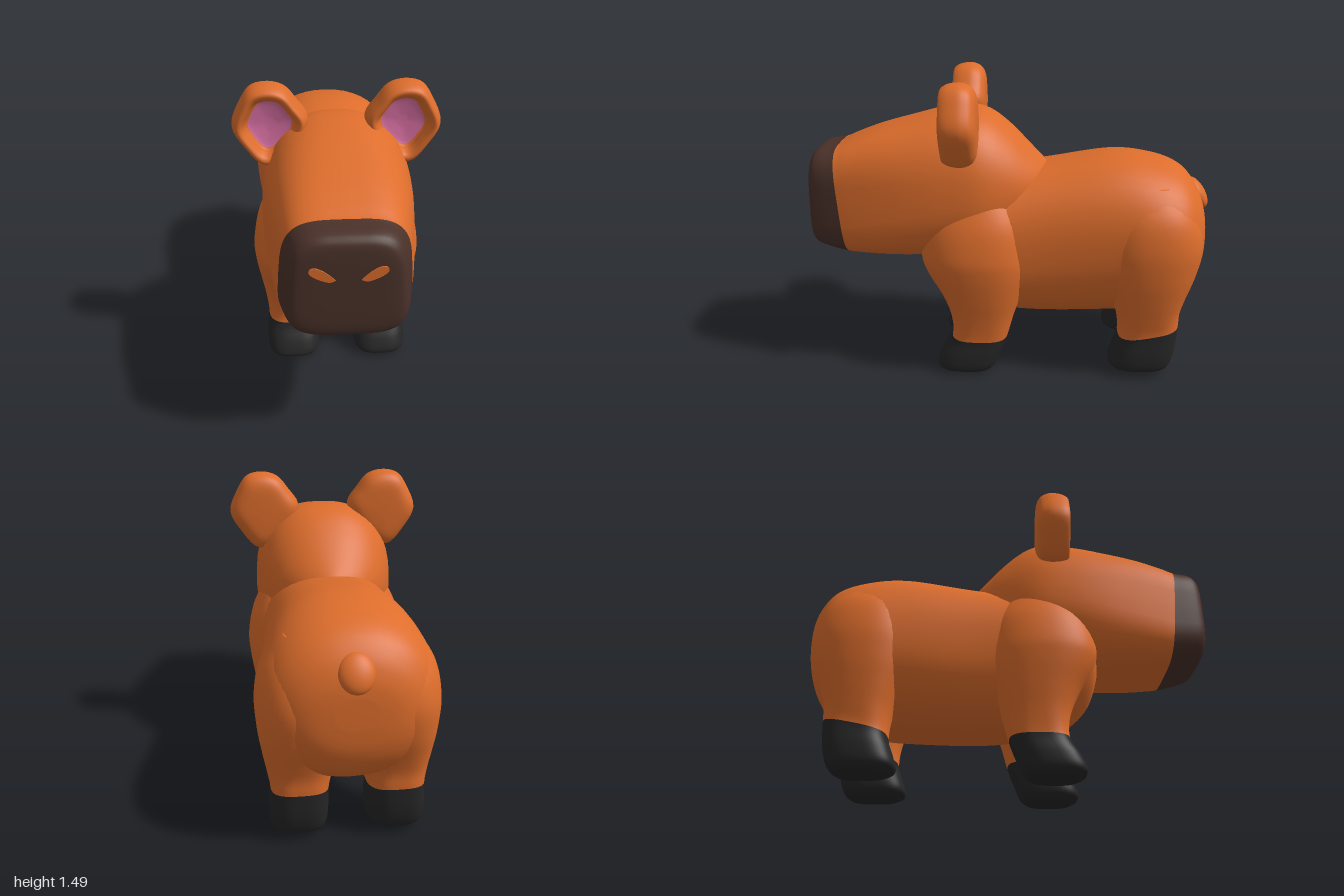
import * as THREE from 'three';

const paint = (name, color) => {
  const m = new THREE.MeshStandardMaterial({ color });
  m.name = name;
  return m;
};
const SIDES = 48, STEPS = 5;

// Smooth interpolation through rows of numbers, STEPS rows per interval
function smoothRows(rows) {
  const out = [], last = rows.length - 1;
  const at = i => rows[Math.min(last, Math.max(0, i))];
  for (let i = 0; i < last; i++) {
    for (let s = 0; s < STEPS; s++) {
      const t = s / STEPS;
      out.push(rows[0].map((_, k) => {
        const a = at(i - 1)[k], b = at(i)[k], c = at(i + 1)[k], d = at(i + 2)[k];
        return b + 0.5 * t * (c - a + t * (2 * a - 5 * b + 4 * c - d + t * (3 * (b - c) + d - a)));
      }));
    }
  }
  out.push(rows[last]);
  return out;
}

// Unit superellipse point: n = 2 is round, larger is boxier
function superPoint(j, n) {
  const a = (j / SIDES) * Math.PI * 2, c = Math.cos(a), s = Math.sin(a);
  return [Math.sign(c) * Math.abs(c) ** (2 / n), Math.sign(s) * Math.abs(s) ** (2 / n)];
}

// Closed skin over rings of points; faces after ring `split` use the second material
function skin(name, rings, materials, split = Infinity) {
  const n = rings[0].length, pos = rings.flat(2);
  const first = [], second = [];
  for (const ring of [rings[0], rings[rings.length - 1]]) {
    for (let k = 0; k < 3; k++) pos.push(ring.reduce((sum, p) => sum + p[k], 0) / n);
  }
  const c0 = rings.length * n, c1 = c0 + 1, end = (rings.length - 1) * n;
  for (let j = 0; j < n; j++) first.push(c0, (j + 1) % n, j);
  for (let i = 0; i < rings.length - 1; i++) {
    const list = i < split ? first : second;
    for (let j = 0; j < n; j++) {
      const a = i * n + j, b = i * n + (j + 1) % n;
      list.push(a, b, a + n, b, b + n, a + n);
    }
  }
  const tail = split < rings.length ? second : first;
  for (let j = 0; j < n; j++) tail.push(c1, end + j, end + (j + 1) % n);

  // Make the winding face outwards
  let volume = 0;
  const v = i => new THREE.Vector3(pos[i * 3], pos[i * 3 + 1], pos[i * 3 + 2]);
  const index = first.concat(second);
  for (let i = 0; i < index.length; i += 3) volume += v(index[i]).dot(v(index[i + 1]).cross(v(index[i + 2])));
  if (volume < 0) {
    for (let i = 0; i < index.length; i += 3) [index[i], index[i + 1]] = [index[i + 1], index[i]];
  }
  const g = new THREE.BufferGeometry();
  g.setAttribute('position', new THREE.Float32BufferAttribute(pos, 3));
  g.setIndex(index);
  if (second.length) {
    g.addGroup(0, first.length, 0);
    g.addGroup(first.length, second.length, 1);
  }
  g.computeVertexNormals();
  const mesh = new THREE.Mesh(g, second.length ? materials : materials[0]);
  mesh.name = name;
  return mesh;
}

// Rows along z: [z, bottom, top, halfWidth, squareness, tilt], narrower at the top by `taper`
const alongZ = (rows, taper) => smoothRows(rows).map(([z, y0, y1, w, n, tilt]) =>
  Array.from({ length: SIDES }, (_, j) => {
    const [u, v] = superPoint(j, n), y = (v * (y1 - y0)) / 2;
    return [u * w * (1 - taper * v), (y0 + y1) / 2 + y, z + tilt * y];
  }));

// Rows along y: [y, backZ, frontZ, innerX, outerX, squareness, tilt]
const alongY = (rows, side) => smoothRows(rows).map(([y, z0, z1, x0, x1, n, tilt]) =>
  Array.from({ length: SIDES }, (_, j) => {
    const [u, v] = superPoint(j, n), z = (v * (z1 - z0)) / 2;
    return [side * ((x0 + x1) / 2 + (u * (x1 - x0)) / 2), y + tilt * z, (z0 + z1) / 2 + z];
  }));

export function createModel() {
  const fur = paint('orange fur', 0xdd6d2c);
  const muzzle = paint('dark brown muzzle', 0x4a3129);
  const hoof = paint('black hoof', 0x262626);
  const pink = paint('pink inner ear', 0xd86fa2);
  const model = new THREE.Group();
  model.name = 'animal';

  // Torso
  model.add(skin('body', alongZ([
    [-0.972, 0.64, 0.78, 0.09, 2.2, 0], [-0.96, 0.53, 0.86, 0.2, 2.2, 0],
    [-0.92, 0.43, 0.95, 0.29, 2.2, 0], [-0.84, 0.34, 1.03, 0.365, 2.2, 0],
    [-0.7, 0.29, 1.08, 0.395, 2.2, 0], [-0.5, 0.27, 1.098, 0.375, 2.3, 0],
    [-0.2, 0.26, 1.05, 0.35, 2.4, 0], [0, 0.27, 1.02, 0.345, 2.4, 0],
    [0.2, 0.3, 1.0, 0.35, 2.3, 0], [0.33, 0.36, 0.95, 0.33, 2.2, 0],
    [0.42, 0.46, 0.86, 0.27, 2.2, 0], [0.455, 0.56, 0.75, 0.13, 2.2, 0],
  ], 0), [fur]));

  // Head with the dark muzzle at its front
  model.add(skin('head', alongZ([
    [-0.19, 0.98, 1.03, 0.04, 2, 0], [-0.15, 0.86, 1.07, 0.15, 2, 0],
    [-0.08, 0.76, 1.14, 0.23, 2.1, 0], [0, 0.69, 1.22, 0.285, 2.2, 0],
    [0.1, 0.62, 1.295, 0.33, 2.3, 0], [0.2, 0.59, 1.322, 0.35, 2.4, 0],
    [0.35, 0.575, 1.305, 0.352, 2.5, 0], [0.5, 0.575, 1.262, 0.34, 2.8, 0.02],
    [0.65, 0.582, 1.215, 0.318, 3.2, 0.05], [0.77, 0.593, 1.167, 0.296, 3.6, 0.08],
    [0.835, 0.6, 1.138, 0.282, 3.8, 0.1], [0.92, 0.62, 1.128, 0.262, 3.9, 0.06],
    [0.972, 0.645, 1.112, 0.24, 3.9, 0], [0.992, 0.69, 1.075, 0.205, 3.6, 0],
    [0.996, 0.78, 0.98, 0.1, 3, 0],
  ], 0.07), [fur, muzzle], 10 * STEPS));

  // Leg rows, hoof first
  const frontLeg = [
    [0, 0.11, 0.33, 0.13, 0.32, 2.8, 0], [0.03, 0.075, 0.37, 0.095, 0.355, 3, 0],
    [0.1, 0.045, 0.345, 0.088, 0.36, 3, 0], [0.187, 0.012, 0.295, 0.088, 0.352, 3, 0],
    [0.3, -0.02, 0.3, 0.07, 0.364, 2.7, 0], [0.42, -0.06, 0.345, 0.05, 0.385, 2.5, 0],
    [0.55, -0.1, 0.42, 0.03, 0.405, 2.3, 0], [0.65, -0.1, 0.44, 0.03, 0.408, 2.2, 0],
    [0.8, -0.07, 0.4, 0.05, 0.375, 2.2, 0], [0.95, 0.03, 0.28, 0.12, 0.3, 2, 0],
  ];
  const backLeg = [
    [0.02, -0.78, -0.55, 0.13, 0.32, 2.8, 0], [0.05, -0.815, -0.507, 0.095, 0.355, 3, 0],
    [0.13, -0.84, -0.525, 0.088, 0.36, 3, -0.05], [0.23, -0.85, -0.55, 0.088, 0.352, 3, -0.2],
    [0.32, -0.855, -0.54, 0.07, 0.366, 2.7, -0.1], [0.42, -0.88, -0.505, 0.05, 0.385, 2.5, 0],
    [0.55, -0.925, -0.46, 0.03, 0.405, 2.3, 0], [0.7, -0.945, -0.44, 0.03, 0.41, 2.2, 0],
    [0.85, -0.9, -0.48, 0.05, 0.375, 2.2, 0], [0.98, -0.8, -0.58, 0.12, 0.28, 2, 0],
  ];

  // Ear outline, and rings [scale, z] from the back round the rim into the cup
  const earCurve = new THREE.CatmullRomCurve3([
    [0.31, 1.487], [0.39, 1.47], [0.44, 1.4], [0.48, 1.29], [0.43, 1.19], [0.34, 1.095],
    [0.25, 1.13], [0.16, 1.23], [0.13, 1.32], [0.18, 1.4], [0.235, 1.465],
  ].map(([x, y]) => new THREE.Vector3(x, y, 0)), true);
  const earOutline = earCurve.getPoints(SIDES).slice(0, SIDES);
  const earRings = smoothRows([
    [0.2, 0.145], [0.65, 0.15], [0.88, 0.17], [0.98, 0.205], [1, 0.24], [0.96, 0.285],
    [0.86, 0.315], [0.74, 0.31], [0.65, 0.28], [0.58, 0.25], [0.15, 0.235],
  ]);

  // Slanted nostril
  const nostril = new THREE.Shape();
  nostril.moveTo(0.052, 0.938);
  nostril.quadraticCurveTo(0.07, 0.922, 0.1, 0.935);
  nostril.quadraticCurveTo(0.15, 0.955, 0.16, 0.975);
  nostril.quadraticCurveTo(0.162, 0.998, 0.135, 0.997);
  nostril.quadraticCurveTo(0.1, 0.99, 0.052, 0.938);

  for (const side of [1, -1]) {
    const label = side > 0 ? 'left' : 'right';
    model.add(skin(label + 'FrontLeg', alongY(frontLeg, side), [hoof, fur], 3 * STEPS));
    model.add(skin(label + 'BackLeg', alongY(backLeg, side), [hoof, fur], 3 * STEPS));
    model.add(skin(label + 'Ear', earRings.map(([s, z]) => earOutline.map(p =>
      [side * (0.305 + (p.x - 0.305) * s), 1.285 + (p.y - 1.285) * s, z])), [fur, pink], 9 * STEPS));

    const points = nostril.getPoints(8).map(p => new THREE.Vector2(p.x * side, p.y));
    const plate = new THREE.ExtrudeGeometry(new THREE.Shape(points), { depth: 0.009, bevelEnabled: false });
    const mesh = new THREE.Mesh(plate, fur);
    mesh.position.z = 0.991;
    mesh.name = label + 'Nostril';
    model.add(mesh);
  }

  // Stubby tail
  const tail = new THREE.Mesh(new THREE.SphereGeometry(1, 32, 20), fur);
  tail.name = 'tail';
  tail.scale.set(0.078, 0.09, 0.042);
  tail.rotation.x = 0.55;
  tail.position.set(0, 0.885, -0.94);
  model.add(tail);

  return model;
}
